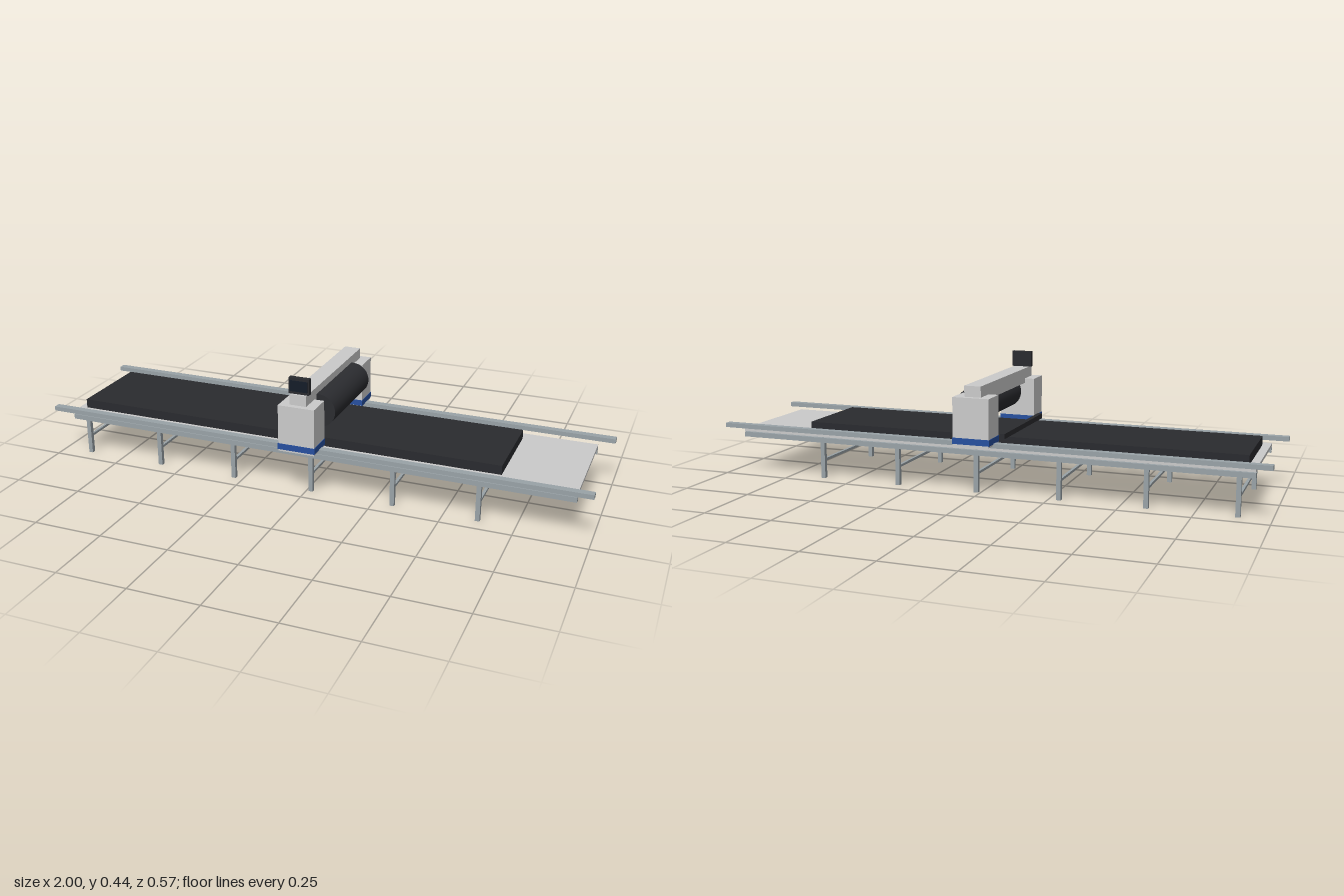
import * as THREE from 'three';

const mat = (color) => new THREE.MeshStandardMaterial({ color });

export function createModel() {
  const model = new THREE.Group();
  const panel = mat(0xcccccc), steel = mat(0x9aa3a8), black = mat(0x2a2b2f);
  const blue = mat(0x2750a0), navy = mat(0x141c28), rubber = mat(0x2c2d31);

  // Box given by its min and max on each axis
  const box = (name, material, [x0, x1], [y0, y1], [z0, z1], parent = model) => {
    const mesh = new THREE.Mesh(new THREE.BoxGeometry(x1 - x0, y1 - y0, z1 - z0), material);
    mesh.position.set((x0 + x1) / 2, (y0 + y1) / 2, (z0 + z1) / 2);
    mesh.name = name;
    parent.add(mesh);
    return mesh;
  };
  // Cylinder lying along z
  const bar = (name, material, radius, length, x, y, parent) => {
    const mesh = new THREE.Mesh(new THREE.CylinderGeometry(radius, radius, length, 48), material);
    mesh.rotation.x = Math.PI / 2;
    mesh.position.set(x, y, 0);
    mesh.name = name;
    parent.add(mesh);
  };
  // Range on the +z or -z side
  const side = (s, a, b) => (s > 0 ? [a, b] : [-b, -a]);

  // Table, cutting bed
  box('tableTop', panel, [-0.943, 0.943], [0.156, 0.167], [-0.207, 0.207]);
  box('cuttingBed', black, [-0.915, 0.685], [0.167, 0.2], [-0.16, 0.16]);

  // Leg frames
  for (let i = 0; i < 6; i++) {
    const x = -0.89 + i * 0.302;
    const frame = new THREE.Group();
    frame.name = 'legFrame';
    model.add(frame);
    for (const s of [1, -1]) {
      box('leg', steel, [x - 0.008, x + 0.008], [0, 0.156], side(s, 0.182, 0.197), frame);
    }
    box('crossBrace', steel, [x - 0.005, x + 0.005], [0.063, 0.072], [-0.182, 0.182], frame);
  }

  // Travelling gantry
  const gantry = new THREE.Group();
  gantry.name = 'gantry';
  model.add(gantry);

  for (const s of [1, -1]) {
    // Table edge rails and long guide rails
    box('edgeRail', steel, [-0.943, 0.943], [0.135, 0.153], side(s, 0.193, 0.207));
    box('guideRail', steel, [-1, 1], [0.174, 0.19], side(s, 0.219, 0.245));
    // Side carriages with a coloured skirt
    box('carriage', panel, [-0.066, 0.066], [0.182, 0.35], side(s, 0.19, 0.284), gantry);
    box('carriageSkirt', blue, [-0.068, 0.068], [0.188, 0.21], side(s, 0.189, 0.285), gantry);
  }

  // Beam, fabric roller on its shaft, spreading bar
  box('beam', panel, [-0.03, 0.03], [0.333, 0.388], [-0.264, 0.264], gantry);
  bar('roller', rubber, 0.06, 0.34, 0.038, 0.303, gantry);
  bar('rollerShaft', steel, 0.014, 0.4, 0.038, 0.304, gantry);
  box('spreadingBar', black, [-0.094, -0.077], [0.2, 0.218], [-0.205, 0.205], gantry);

  // Control display
  box('displayCase', black, [-0.037, 0.037], [0.388, 0.445], [0.238, 0.256], gantry);
  box('displayScreen', navy, [-0.032, 0.032], [0.398, 0.436], [0.255, 0.26], gantry);

  return model;
}
